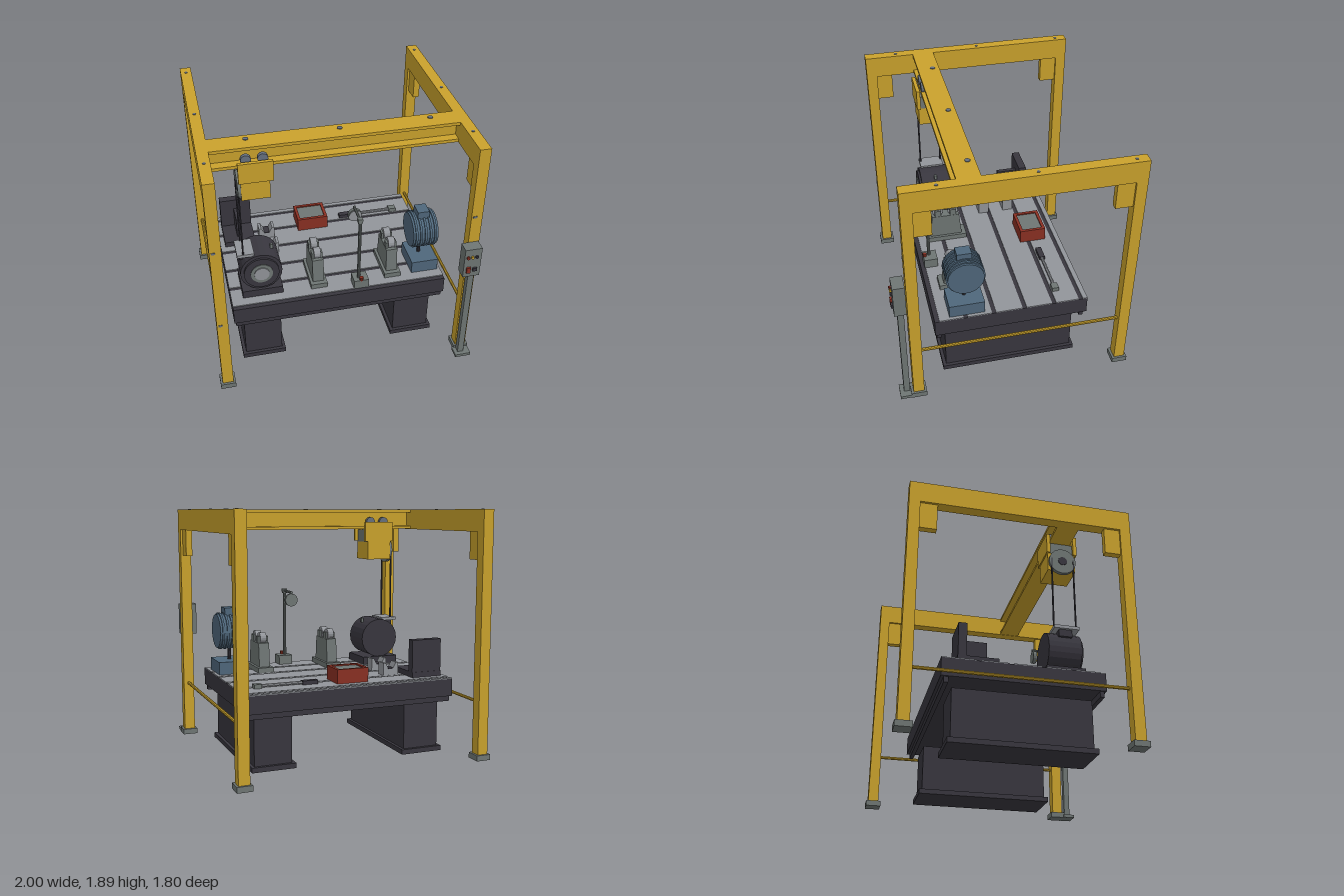
import * as THREE from 'three';

const mat = (name, color) => Object.assign(new THREE.MeshStandardMaterial({ color }), { name });

export function createModel() {
  const root = new THREE.Group();
  root.name = 'gantryWorkbench';
  const yellow = mat('yellow paint', 0xcaa22c);
  const dark = mat('dark iron', 0x38363e);
  const grey = mat('grey steel', 0x6f7674);
  const light = mat('ground steel', 0x92959a);
  const blue = mat('blue paint', 0x4f677b);
  const red = mat('red paint', 0x8a3023);
  const bolt = mat('bolt steel', 0x66707f);

  const add = (name, geo, m, parent = root) => {
    const mesh = new THREE.Mesh(geo, m);
    mesh.name = name;
    parent.add(mesh);
    return mesh;
  };
  // box from minimum and maximum extents
  const box = (name, m, x0, x1, y0, y1, z0, z1, parent) => {
    const mesh = add(name, new THREE.BoxGeometry(x1 - x0, y1 - y0, z1 - z0), m, parent);
    mesh.position.set((x0 + x1) / 2, (y0 + y1) / 2, (z0 + z1) / 2);
    return mesh;
  };
  // flat-faceted cylinder along a chosen axis
  const cyl = (name, m, axis, r, len, x, y, z, sides = 16, parent = root) => {
    let g = new THREE.CylinderGeometry(r, r, len, sides);
    if (axis === 'x') g.rotateZ(-Math.PI / 2);
    if (axis === 'z') g.rotateX(Math.PI / 2);
    g = g.toNonIndexed();
    g.computeVertexNormals();
    const mesh = add(name, g, m, parent);
    mesh.position.set(x, y, z);
    return mesh;
  };

  // Gantry side frames
  for (const s of [-1, 1]) {
    const f = new THREE.Group();
    f.name = s < 0 ? 'rightFrame' : 'leftFrame';
    f.position.x = s * 0.941;
    root.add(f);
    box('frontPost', yellow, -0.042, 0.042, 0.04, 1.725, 0.71, 0.792, f);
    box('backPost', yellow, -0.042, 0.042, 0.04, 1.725, -0.885, -0.803, f);
    box('sideBeam', yellow, -0.042, 0.042, 1.725, 1.89, -0.885, 0.792, f);
    box('frontKnee', yellow, -0.025, 0.025, 1.515, 1.725, 0.588, 0.71, f);
    box('backKnee', yellow, -0.025, 0.025, 1.515, 1.725, -0.803, -0.675, f);
    box('frontFoot', grey, -0.058, 0.058, 0, 0.043, 0.692, 0.81, f);
    box('backFoot', grey, -0.058, 0.058, 0, 0.043, -0.902, -0.785, f);
    cyl('sideRail', yellow, 'z', 0.013, 1.515, 0, 0.438, -0.046, 8, f);
    for (const z of [0.545, -0.125, -0.8]) cyl('beamBolt', bolt, 'y', 0.012, 0.008, 0, 1.89, z, 8, f);
    for (const y of [0.645, 1.32]) box('postBolt', bolt, -0.03, 0, y - 0.008, y + 0.008, 0.79, 0.796, f);
  }

  // Crossing I-beam
  box('beamTopFlange', yellow, -0.9, 0.9, 1.866, 1.89, 0.243, 0.41);
  box('beamBottomFlange', yellow, -0.9, 0.9, 1.728, 1.752, 0.243, 0.41);
  box('beamWeb', yellow, -0.9, 0.9, 1.752, 1.866, 0.313, 0.34);
  for (const x of [-0.63, 0.04, 0.71]) cyl('beamBolt', bolt, 'y', 0.02, 0.01, x, 1.89, 0.295, 8);

  // Hoist trolley with pulley and cables
  for (const z of [0.23, 0.44]) box('trolleyPlate', yellow, -0.715, -0.465, 1.625, 1.785, z - 0.014, z + 0.014);
  box('trolleyCore', grey, -0.69, -0.49, 1.62, 1.722, 0.245, 0.425);
  for (const x of [-0.65, -0.53])
    for (const z of [0.268, 0.395]) cyl('trolleyWheel', bolt, 'z', 0.038, 0.03, x, 1.788, z, 14);
  box('hoistBody', yellow, -0.7, -0.492, 1.475, 1.625, 0.225, 0.44);
  cyl('hoistPulley', grey, 'x', 0.105, 0.03, -0.708, 1.55, 0.335, 20);
  cyl('pulleyHub', dark, 'x', 0.035, 0.012, -0.722, 1.55, 0.335, 12);
  for (const z of [0.25, 0.42]) cyl('hoistCable', dark, 'y', 0.007, 0.61, -0.718, 1.265, z, 6);

  // Bench legs, body and slotted top
  for (const x of [-0.612, 0.605]) {
    box('leg', dark, x - 0.146, x + 0.146, 0.038, 0.4, -0.505, 0.5);
    box('legBase', dark, x - 0.171, x + 0.171, 0, 0.038, -0.53, 0.525);
  }
  box('benchBody', dark, -0.838, 0.835, 0.448, 0.583, -0.593, 0.585);
  for (const z of [-0.555, 0.555]) box('benchRail', dark, -0.825, 0.82, 0.405, 0.448, z - 0.016, z + 0.016);
  const slots = [-0.54, -0.33, -0.1, 0.136, 0.352, 0.565];
  let edge = -0.593;
  for (const z of slots) {
    box('topStrip', light, -0.838, 0.835, 0.583, 0.59, edge, z - 0.016);
    edge = z + 0.016;
  }

  // Dark drive motor
  const mx = -0.592, my = 0.807;
  box('motorBase', dark, -0.747, -0.435, 0.59, 0.652, 0.18, 0.472);
  cyl('motorBody', dark, 'z', 0.16, 0.25, mx, my, 0.325, 24);
  cyl('motorRing', dark, 'z', 0.135, 0.02, mx, my, 0.457, 24);
  cyl('motorFace', grey, 'z', 0.085, 0.02, mx, my, 0.463, 16);
  cyl('motorHub', light, 'z', 0.058, 0.02, mx, my, 0.47, 14);
  box('motorTerminal', dark, -0.745, -0.67, 0.895, 0.95, 0.28, 0.38);
  box('slingPlate', light, -0.765, -0.635, 0.95, 0.975, 0.24, 0.43);
  box('motorLug', grey, -0.502, -0.48, 0.93, 0.968, 0.32, 0.342);

  // Angle plate
  box('angleBase', dark, -0.8, -0.55, 0.59, 0.632, -0.475, -0.178);
  box('angleUpright', dark, -0.8, -0.55, 0.59, 0.885, -0.472, -0.41);
  box('angleRib', dark, -0.69, -0.655, 0.63, 0.8, -0.41, -0.245);

  // V-blocks
  const v = new THREE.Shape([[-0.065, 0], [0.065, 0], [0.065, 0.1], [0.045, 0.1], [0.02, 0.055],
    [-0.02, 0.055], [-0.045, 0.1], [-0.065, 0.1]].map(p => new THREE.Vector2(...p)));
  for (const z of [-0.31, -0.1]) {
    add('vBlock', new THREE.ExtrudeGeometry(v, { depth: 0.085, bevelEnabled: false }), light)
      .position.set(-0.445, 0.59, z);
    box('vGroove', dark, -0.467, -0.423, 0.64, 0.648, z - 0.001, z + 0.086);
  }

  // Parts tray
  box('trayBack', red, -0.172, 0.082, 0.59, 0.7, -0.472, -0.448);
  box('trayFront', red, -0.172, 0.082, 0.59, 0.7, -0.287, -0.263);
  for (const x of [-0.16, 0.07]) box('traySide', red, x - 0.012, x + 0.012, 0.59, 0.7, -0.448, -0.287);
  box('trayFill', grey, -0.148, 0.058, 0.59, 0.69, -0.448, -0.287);

  // Torque wrench
  box('wrenchHandle', dark, 0.21, 0.333, 0.59, 0.62, -0.4, -0.355);
  cyl('wrenchRod', light, 'x', 0.013, 0.33, 0.495, 0.605, -0.376, 8);
  box('wrenchHead', grey, 0.652, 0.712, 0.59, 0.622, -0.402, -0.35);

  // Roller pedestals
  for (const x of [-0.152, 0.437]) {
    const p = new THREE.Group();
    p.name = 'rollerPedestal';
    p.position.set(x, 0, 0.32);
    root.add(p);
    box('pedestalBase', grey, -0.065, 0.065, 0.59, 0.63, -0.165, 0.165, p);
    const column = new THREE.BoxGeometry(0.088, 0.195, 0.26);
    const a = column.attributes.position;
    for (let i = 0; i < a.count; i++) if (a.getY(i) > 0) a.setZ(i, a.getZ(i) * 0.85);
    column.computeVertexNormals();
    add('pedestalColumn', column, grey, p).position.y = 0.725;
    for (const z of [-0.062, 0.062]) {
      for (const s of [-1, 1]) box('rollerCheek', grey, s * 0.034 - 0.008, s * 0.034 + 0.008, 0.82, 0.875, z - 0.025, z + 0.025, p);
      cyl('roller', light, 'x', 0.043, 0.052, 0, 0.862, z, 14, p);
    }
  }

  // Dial gauge stand
  box('gaugeBase', grey, 0.107, 0.223, 0.59, 0.665, 0.45, 0.557);
  cyl('gaugeKnob', red, 'y', 0.016, 0.03, 0.165, 0.675, 0.545, 8);
  cyl('gaugePost', grey, 'y', 0.013, 0.56, 0.152, 0.94, 0.51, 10);
  box('gaugeClamp', grey, 0.134, 0.17, 1.192, 1.228, 0.488, 0.525);
  cyl('gaugeArm', grey, 'z', 0.011, 0.18, 0.152, 1.21, 0.42, 8);
  cyl('gaugeStem', grey, 'y', 0.01, 0.06, 0.152, 1.185, 0.345, 8);
  cyl('gaugeBody', grey, 'z', 0.053, 0.026, 0.152, 1.147, 0.345, 18);
  cyl('gaugeFace', light, 'z', 0.047, 0.006, 0.152, 1.147, 0.361, 18);

  // Blue finned motor on its stand
  box('standBase', blue, 0.597, 0.81, 0.59, 0.69, 0.2, 0.47);
  cyl('standStem', dark, 'y', 0.014, 0.13, 0.69, 0.745, 0.335, 10);
  cyl('finnedBody', blue, 'x', 0.137, 0.2, 0.695, 0.925, 0.335, 18);
  for (const x of [0.62, 0.657, 0.695, 0.733, 0.77]) cyl('coolingFin', blue, 'x', 0.148, 0.017, x, 0.925, 0.335, 18);
  box('terminalBox', blue, 0.645, 0.737, 1.04, 1.113, 0.28, 0.39);

  // Control pendant
  box('pendantBase', grey, 0.87, 0.995, 0, 0.025, 0.8, 0.893);
  box('pendantPost', grey, 0.898, 0.945, 0.025, 0.85, 0.815, 0.861);
  box('pendantBox', grey, 0.845, 0.975, 0.845, 1.098, 0.797, 0.885);
  [[0.87, red], [0.903, yellow], [0.937, dark]].forEach(([x, m]) =>
    cyl('pendantButton', m, 'z', 0.012, 0.018, x, 1.028, 0.891, 8));
  box('stopButton', red, 0.866, 0.896, 0.888, 0.938, 0.885, 0.9);
  box('selectorButton', dark, 0.914, 0.946, 0.9, 0.928, 0.885, 0.9);
  return root;
}
